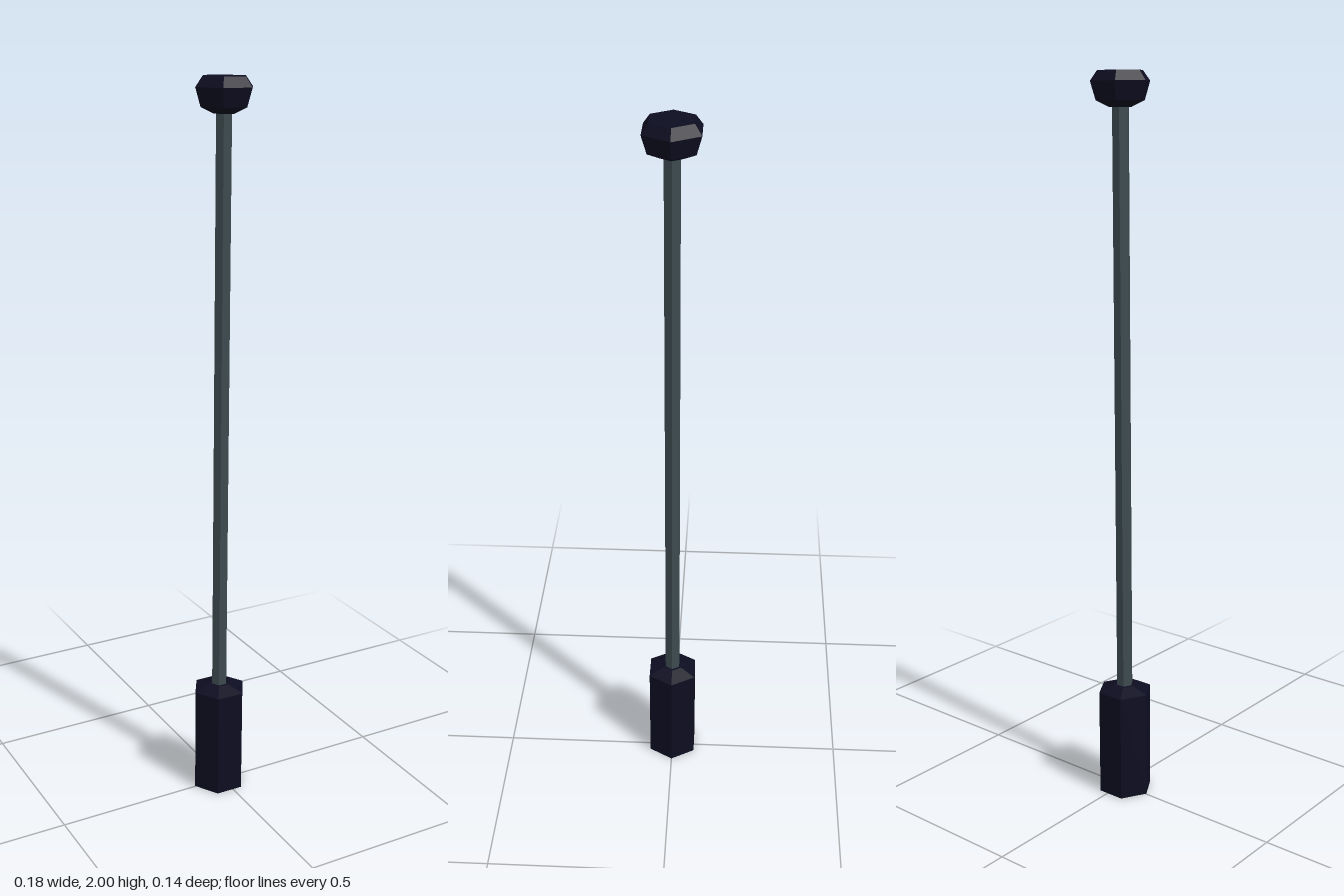
import * as THREE from 'three';

const darkNavy = new THREE.MeshStandardMaterial({ color: 0x0d0d21, flatShading: true });
const slateMetal = new THREE.MeshStandardMaterial({ color: 0x3c4a4f, flatShading: true });

// Six-sided turned part from [radius, height] pairs, corners on the x axis
function hexPart(name, profile, material) {
  const points = profile.map(([r, y]) => new THREE.Vector2(r, y));
  const geometry = new THREE.LatheGeometry(points, 6).rotateY(Math.PI / 6);
  const mesh = new THREE.Mesh(geometry, material);
  mesh.name = name;
  return mesh;
}

export function createModel() {
  const model = new THREE.Group();
  model.name = 'rodWithGripAndCap';

  // Everything shares one axis that leans slightly to the model's left
  const leaning = new THREE.Group();
  leaning.name = 'leaningAssembly';
  leaning.position.x = -0.0125;
  leaning.rotation.z = -0.0095;

  leaning.add(
    // Grip with a shallow sloped shoulder
    hexPart('grip', [[0, 0.001], [0.077, 0.001], [0.077, 0.305], [0.03, 0.321], [0, 0.321]], darkNavy),
    // Long thin shaft
    hexPart('shaft', [[0.023, 0.3], [0.023, 1.93]], slateMetal),
    // Faceted cap, widest below its flat top
    hexPart('cap', [[0, 1.908], [0.03, 1.908], [0.067, 1.925], [0.082, 1.973], [0.062, 1.999], [0, 1.999]], darkNavy),
  );

  model.add(leaning);
  return model;
}
